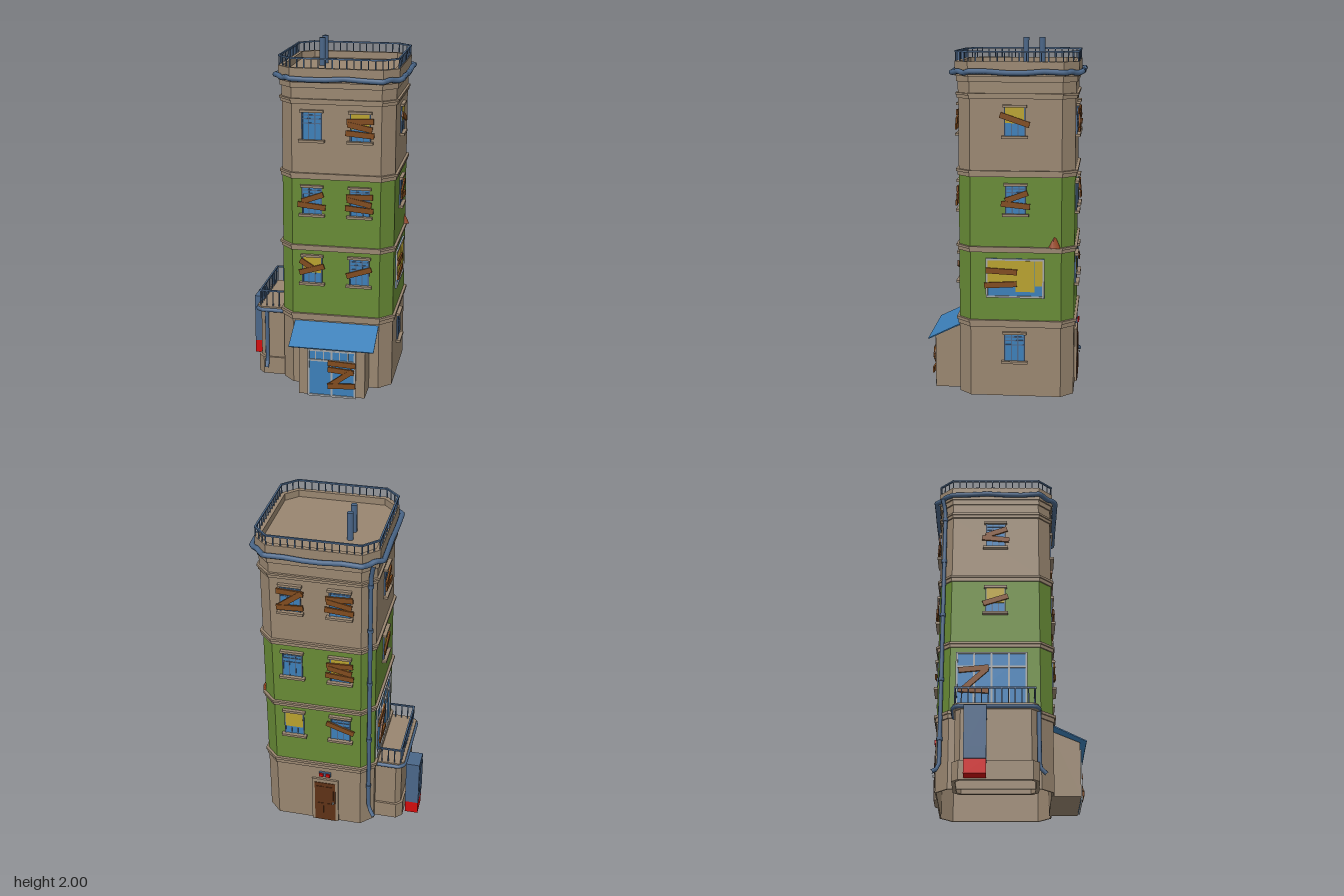
import * as THREE from 'three';
import { mergeGeometries } from 'three/addons/utils/BufferGeometryUtils.js';

const mat = (name, color, side = THREE.FrontSide) => {
  const m = new THREE.MeshStandardMaterial({ color, side });
  m.name = name;
  return m;
};
const H = 0.322; // half width of the tower

export function createModel() {
  const M = {
    wall: mat('tan plaster', 0x998670, THREE.DoubleSide),
    green: mat('green paint', 0x678a35),
    metal: mat('blue grey metal', 0x4a6688),
    blue: mat('bright blue', 0x3c7fb8, THREE.DoubleSide),
    wood: mat('plank brown', 0x804b1e),
    yellow: mat('yellow blind', 0xb8a12e),
    red: mat('red', 0xd20c0c),
    frame: mat('pale frame', 0xa3a6a8),
    door: mat('dark door brown', 0x5e3116),
    rust: mat('rust', 0x94431f),
  };
  const model = new THREE.Group();
  const add = (parent, name, geo, m, x = 0, y = 0, z = 0) => {
    const mesh = new THREE.Mesh(geo, m);
    mesh.name = name;
    mesh.position.set(x, y, z);
    parent.add(mesh);
    return mesh;
  };
  const box = (parent, name, m, w, h, d, x, y, z) =>
    add(parent, name, new THREE.BoxGeometry(w, h, d), m, x, y, z);

  // Outline of a rectangle with cut corners
  const outline = (hx, hz, c) => [
    [hx, c - hz], [hx, hz - c], [hx - c, hz], [c - hx, hz],
    [-hx, hz - c], [-hx, c - hz], [c - hx, -hz], [hx - c, -hz],
  ].map(([x, z]) => new THREE.Vector2(x, z));
  const prism = (parent, name, m, hx, hz, c, y0, y1, wall = 0) => {
    const s = new THREE.Shape(outline(hx, hz, c));
    if (wall) s.holes.push(new THREE.Path(outline(hx - wall, hz - wall, c - wall * 0.586)));
    const g = new THREE.ExtrudeGeometry(s, { depth: y1 - y0, bevelEnabled: false });
    g.rotateX(-Math.PI / 2);
    return add(parent, name, g, m, 0, y0, 0);
  };
  const tube = (parent, name, pts, r, closed = false, n = 40) =>
    add(parent, name, new THREE.TubeGeometry(new THREE.CatmullRomCurve3(
      pts.map(p => new THREE.Vector3(...p)), closed, 'catmullrom', 0.1), n, r, 8, closed), M.metal);

  // Railing with evenly spaced bars along a path of [x, z] points
  const railing = (parent, name, pts, y0, y1, step) => {
    const parts = [];
    for (let i = 0; i < pts.length - 1; i++) {
      const [a, b] = [pts[i], pts[i + 1]];
      const dx = b[0] - a[0], dz = b[1] - a[1], len = Math.hypot(dx, dz);
      const bar = new THREE.BoxGeometry(len + 0.008, 0.009, 0.01);
      bar.rotateY(-Math.atan2(dz, dx));
      bar.translate((a[0] + b[0]) / 2, y1 - 0.0045, (a[1] + b[1]) / 2);
      parts.push(bar);
      const n = Math.max(1, Math.round(len / step));
      for (let k = 0; k <= n; k++) {
        const post = new THREE.BoxGeometry(0.006, y1 - y0, 0.006);
        post.translate(a[0] + dx * k / n, (y0 + y1) / 2, a[1] + dz * k / n);
        parts.push(post);
      }
    }
    add(parent, name, mergeGeometries(parts), M.metal);
  };

  // Tower storeys
  const tower = new THREE.Group();
  tower.name = 'tower';
  tower.position.set(0.1, 0, -0.067);
  model.add(tower);
  const storey = (name, m, d, y0, y1, wall = 0) =>
    prism(tower, name, m, H + d, H + d, 0.07 + d * 0.586, y0, y1, wall);
  storey('groundFloor', M.wall, 0, 0.01, 0.41, 0.008);
  storey('secondFloor', M.green, 0, 0.45, 0.835);
  storey('thirdFloor', M.green, 0, 0.865, 1.255);
  storey('fourthFloor', M.wall, 0, 1.29, 1.68);
  storey('attic', M.wall, 0.002, 1.71, 1.77);
  for (const [y0, y1] of [[0.41, 0.45], [0.835, 0.867], [1.255, 1.29], [1.68, 1.71]]) {
    const mid = y0 + (y1 - y0) * 0.6;
    storey('ledgeLower', M.wall, 0.008, y0, mid);
    storey('ledgeUpper', M.wall, 0.015, mid, y1);
  }
  storey('cornice', M.wall, 0.01, 1.77, 1.8);
  storey('roofDeck', M.wall, 0.018, 1.8, 1.84);
  storey('parapet', M.wall, 0.018, 1.84, 1.88, 0.026);

  // Roof railing, sagging gutter and chimneys
  const ro = outline(0.334, 0.334, 0.078).map(p => [p.x, p.y]);
  railing(tower, 'roofRailing', [...ro, ro[0]], 1.88, 1.937, 0.04);
  const go = outline(0.357, 0.357, 0.1), gp = [];
  go.forEach((a, i) => {
    const b = go[(i + 1) % 8];
    for (let k = 0; k < 5; k++) {
      const p = a.clone().lerp(b, k / 5);
      gp.push([p.x, 1.823 + 0.005 * Math.sin(i * 2.1 + k * 1.9), p.y]);
    }
  });
  tube(tower, 'roofGutter', gp, 0.015, true, 160);
  for (const z of [-0.18, -0.087])
    add(model, 'chimneyPipe', new THREE.CylinderGeometry(0.017, 0.017, 0.17, 10), M.metal, -0.045, 1.915, z);

  // Corner downpipe with clamps
  tube(model, 'cornerDownpipe', [[-0.215, 1.815, -0.385], [-0.203, 1.76, -0.373], [-0.198, 1.7, -0.368],
    [-0.198, 1, -0.368], [-0.198, 0.17, -0.368], [-0.205, 0.13, -0.375], [-0.238, 0.1, -0.408]], 0.012);
  for (const y of [0.3, 0.65, 1.05, 1.4, 1.68])
    add(model, 'pipeClamp', new THREE.CylinderGeometry(0.016, 0.016, 0.02, 10), M.metal, -0.198, y, -0.368);

  // One group per facade, with local x to the right and z outward
  const side = (name, angle) => {
    const outer = new THREE.Group(), inner = new THREE.Group();
    outer.name = name;
    outer.rotation.y = angle;
    inner.position.z = H;
    outer.add(inner);
    tower.add(outer);
    return inner;
  };
  const front = side('frontFacade', 0), right = side('rightFacade', Math.PI / 2);
  const back = side('backFacade', Math.PI), left = side('leftFacade', -Math.PI / 2);

  // Plank patterns: [x, y, tilt, length]
  const P = {
    none: [],
    three: [[0, 0.035, 0.04, 0.15], [0, 0.005, -0.2, 0.14], [0, -0.035, -0.08, 0.16]],
    cross: [[0.005, 0.018, 0.35, 0.13], [0, -0.028, -0.1, 0.16]],
    fork: [[-0.025, 0.03, -0.55, 0.1], [0, 0.005, 0.3, 0.15]],
    rise: [[0, 0, 0.32, 0.15]],
    fall: [[0, 0.01, -0.33, 0.17]],
    zed: [[0, 0.045, -0.05, 0.15], [0, 0, 0.65, 0.17], [0, -0.045, 0.05, 0.15]],
  };
  const planks = (g, list, z = 0.014) => list.forEach(([x, y, t, len], i) => {
    box(g, 'plank', M.wood, len, 0.031, 0.01, x, y, z + i * 0.003).rotation.z = t;
  });
  const makeWindow = (parent, x, y, pattern, blind = 0) => {
    const g = new THREE.Group();
    g.name = 'window';
    g.position.set(x, y, 0);
    parent.add(g);
    box(g, 'glass', M.blue, 0.112, 0.16, 0.004, 0, 0, 0.001);
    for (const s of [-1, 1]) box(g, 'jamb', M.metal, 0.008, 0.16, 0.008, s * 0.054, 0, 0.004);
    for (const s of [-0.018, 0.018]) box(g, 'mullion', M.metal, 0.006, 0.16, 0.006, s, 0, 0.003);
    for (const yy of [0.015, 0.04, 0.06]) box(g, 'slat', M.metal, 0.108, 0.006, 0.007, 0, yy, 0.003);
    if (blind) box(g, 'blind', M.yellow, 0.102, 0.16 * blind, 0.006, 0, 0.08 - 0.08 * blind, 0.006);
    box(g, 'lintel', M.wall, 0.132, 0.014, 0.02, 0, 0.084, 0.01);
    box(g, 'sill', M.wall, 0.146, 0.014, 0.026, 0, -0.084, 0.012);
    planks(g, P[pattern]);
  };
  const rows = [0.72, 1.13, 1.558];
  const L = -0.137, R = 0.135;
  [
    [front, L, 2, 'none'], [front, R, 2, 'three', 0.55], [front, L, 1, 'cross'], [front, R, 1, 'three'],
    [front, L, 0, 'fork', 0.6], [front, R, 0, 'rise'],
    [right, -0.005, 2, 'fall', 0.55], [right, 0, 1, 'cross'],
    [back, L, 2, 'zed'], [back, R, 2, 'three'], [back, L, 1, 'none'], [back, R, 1, 'three', 0.8],
    [back, L, 0, 'none', 0.65], [back, R, 0, 'fall'],
    [left, 0, 2, 'cross'], [left, 0, 1, 'rise', 0.6],
  ].forEach(([f, x, r, p, b]) => makeWindow(f, x, rows[r], p, b));
  makeWindow(right, -0.005, 0.293, 'none');

  // Large framed glazing, used for the wide window, balcony door and entrance
  const glazing = (parent, name, x, y, w, h, cols, bars) => {
    const g = new THREE.Group();
    g.name = name;
    g.position.set(x, y, 0);
    parent.add(g);
    box(g, 'glass', M.blue, w, h, 0.004, 0, 0, 0.001);
    for (let i = 0; i <= cols; i++)
      box(g, 'frameUpright', M.frame, 0.011, h, 0.01, (i / cols - 0.5) * (w - 0.011), 0, 0.005);
    for (const yy of [0.5, -0.5, ...bars])
      box(g, 'frameRail', M.frame, w, 0.011, 0.01, 0, yy * (h - 0.011), 0.005);
    return g;
  };
  const wide = glazing(right, 'wideWindow', -0.003, 0.69, 0.325, 0.222, 1, []);
  box(wide, 'blind', M.yellow, 0.166, 0.145, 0.006, -0.07, 0.03, 0.004);
  box(wide, 'blind', M.yellow, 0.105, 0.175, 0.008, 0.056, 0.012, 0.006);
  box(wide, 'blind', M.yellow, 0.044, 0.145, 0.006, 0.132, 0.03, 0.004);
  planks(wide, [[-0.075, 0.04, -0.05, 0.175], [-0.08, -0.035, 0.06, 0.18]]);
  const balconyDoor = glazing(left, 'balconyDoor', -0.02, 0.63, 0.4, 0.35, 4, [0.25]);
  planks(balconyDoor, [[-0.1, 0.07, 0.1, 0.17], [-0.1, 0, 0.75, 0.2], [-0.1, -0.06, -0.05, 0.17]]);

  // Rust heap on the ledge
  add(tower, 'rustHeap', new THREE.ConeGeometry(0.04, 0.075, 5), M.rust, 0.315, 0.902, -0.215);

  // Back door and lamp
  box(back, 'doorFrame', M.wall, 0.16, 0.315, 0.016, 0.04, 0.168, 0.004);
  box(back, 'backDoor', M.door, 0.125, 0.29, 0.01, 0.04, 0.157, 0.01);
  for (const [px, py, h] of [[0.01, 0.225, 0.1], [0.07, 0.225, 0.1], [0.01, 0.095, 0.1], [0.07, 0.095, 0.1]])
    box(back, 'doorPanel', M.door, 0.042, h, 0.006, px, py, 0.015);
  box(back, 'doorKnob', M.frame, 0.01, 0.01, 0.012, 0.09, 0.155, 0.02);
  box(back, 'lampPlate', M.metal, 0.07, 0.028, 0.014, 0.04, 0.365, 0.006);
  for (const s of [-0.02, 0.02]) box(back, 'lamp', M.red, 0.024, 0.02, 0.016, 0.04 + s, 0.365, 0.014);

  // Entrance block with a sloped top
  const prof = new THREE.Shape([[0.24, 0.01], [0.404, 0.01], [0.404, 0.318], [0.24, 0.388]]
    .map(([z, y]) => new THREE.Vector2(-z, y)));
  const eg = new THREE.ExtrudeGeometry(prof, { depth: 0.384, bevelEnabled: false });
  eg.rotateY(Math.PI / 2);
  add(model, 'entranceBlock', eg, M.wall, -0.087, 0, 0);
  const shop = new THREE.Group();
  shop.name = 'entrance';
  shop.position.set(0.105, 0, 0.404);
  model.add(shop);
  const shopDoor = glazing(shop, 'shopDoor', 0, 0.15, 0.28, 0.29, 2, [0.28]);
  for (let i = 1; i < 6; i++)
    box(shopDoor, 'transomBar', M.frame, 0.006, 0.06, 0.008, -0.14 + i * 0.28 / 6, 0.112, 0.005);
  planks(shopDoor, [[0.06, 0.065, -0.05, 0.16], [0.055, 0.025, -0.08, 0.15],
    [0.055, -0.02, 0.65, 0.17], [0.06, -0.065, 0.06, 0.16]]);

  // Awning
  const awning = box(model, 'awning', M.blue, 0.49, 0.006, 0.204, 0.105, 0.354, 0.346);
  awning.rotation.x = Math.atan2(0.088, 0.18);

  // Side annex with balcony
  const annex = new THREE.Group();
  annex.name = 'annex';
  annex.position.set(-0.25, 0, -0.06);
  model.add(annex);
  prism(annex, 'annexBase', M.wall, 0.137, 0.232, 0.035, 0.01, 0.115, 0.02);
  prism(annex, 'annexWall', M.wall, 0.124, 0.22, 0.03, 0.11, 0.41, 0.01);
  prism(annex, 'balconyFloor', M.wall, 0.142, 0.232, 0.03, 0.405, 0.437);
  tube(annex, 'balconyGutter', [[0.03, 0.416, 0.232], [-0.11, 0.416, 0.232], [-0.142, 0.416, 0.2],
    [-0.142, 0.416, -0.2], [-0.11, 0.416, -0.232], [0.03, 0.416, -0.232]], 0.012);
  railing(annex, 'balconyRailing', [[0.028, 0.212], [-0.122, 0.212], [-0.122, -0.222], [0.028, -0.222]],
    0.437, 0.535, 0.036);
  tube(model, 'annexDownpipe', [[-0.33, 0.41, 0.172], [-0.33, 0.36, 0.172], [-0.33, 0.12, 0.172],
    [-0.33, 0.09, 0.178], [-0.327, 0.06, 0.208]], 0.012);

  // Street cabinet beside the annex
  box(model, 'cabinetBase', M.red, 0.078, 0.08, 0.118, -0.437, 0.055, -0.168);
  box(model, 'cabinet', M.metal, 0.08, 0.295, 0.12, -0.437, 0.243, -0.168);
  box(model, 'cabinetPanel', M.metal, 0.006, 0.2, 0.09, -0.478, 0.26, -0.168);

  return model;
}
